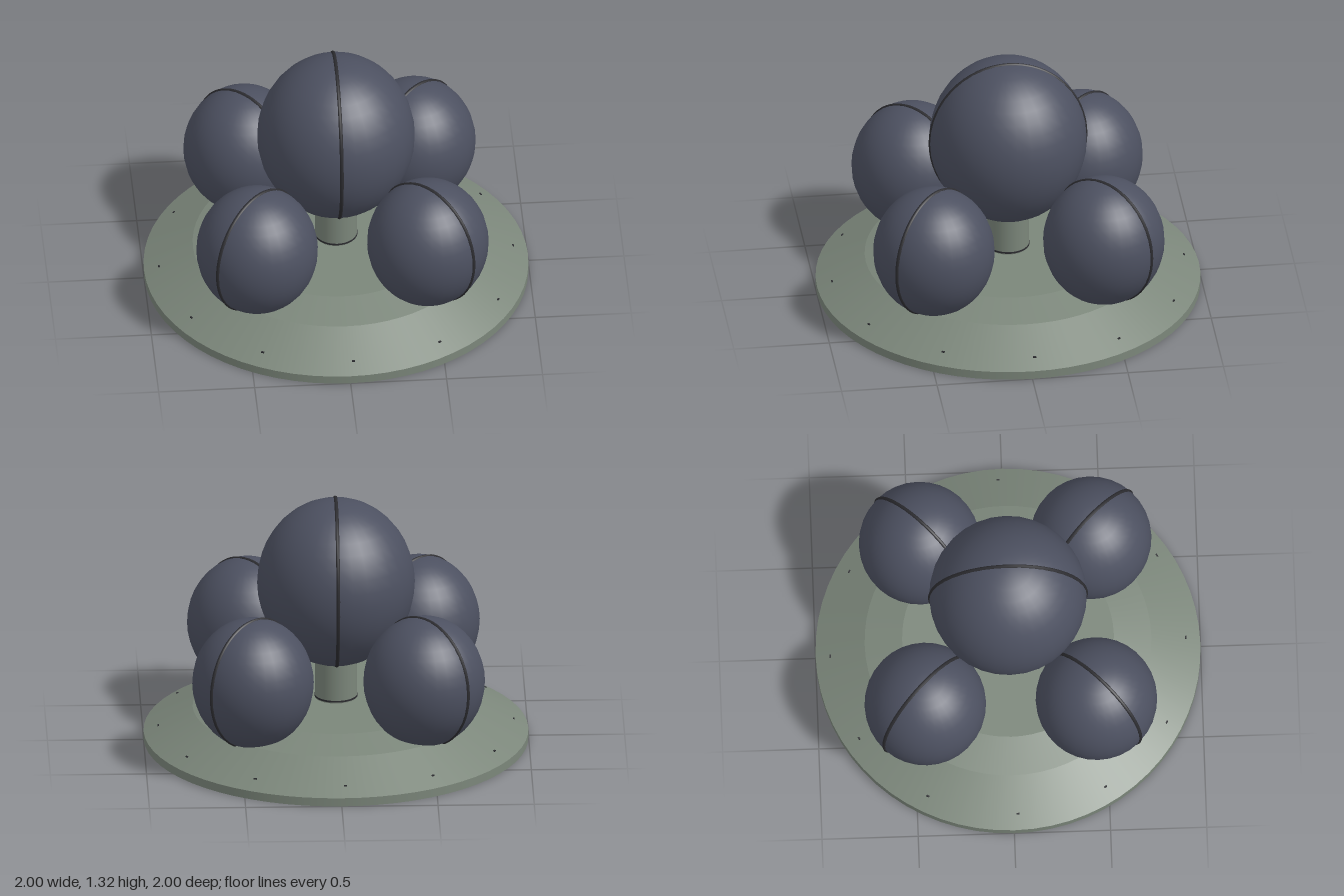
import * as THREE from 'three';

export function createModel() {
  const model = new THREE.Group();
  const shell = new THREE.MeshStandardMaterial({ name: 'slate blue', color: 0x4c5060 });
  const metal = new THREE.MeshStandardMaterial({ name: 'grey green', color: 0x7b867a });
  const dark = new THREE.MeshStandardMaterial({ name: 'charcoal', color: 0x2c2c30 });

  function add(parent, name, geometry, material, x = 0, y = 0, z = 0) {
    const mesh = new THREE.Mesh(geometry, material);
    mesh.name = name;
    mesh.position.set(x, y, z);
    parent.add(mesh);
    return mesh;
  }

  // Stepped base: rim, lower slope, upper slope with a flat top
  const tiers = [
    ['baseRim', 1, 1, 0, 0.045],
    ['baseLowerSlope', 0.745, 1, 0.045, 0.18],
    ['baseUpperSlope', 0.55, 0.745, 0.18, 0.23],
  ];
  for (const [name, top, bottom, y0, y1] of tiers) {
    add(model, name, new THREE.CylinderGeometry(top, bottom, y1 - y0, 64, 1, true), metal, 0, (y0 + y1) / 2, 0);
  }
  add(model, 'baseTop', new THREE.CircleGeometry(0.55, 64), metal, 0, 0.23, 0).rotation.x = -Math.PI / 2;
  add(model, 'baseUnderside', new THREE.CircleGeometry(1, 64), metal).rotation.x = Math.PI / 2;

  // Central stem with a dark seam at its foot
  add(model, 'stem', new THREE.CylinderGeometry(0.11, 0.11, 0.27, 32), metal, 0, 0.345, 0);
  add(model, 'stemSeam', new THREE.CylinderGeometry(0.112, 0.112, 0.009, 32), dark, 0, 0.24, 0);

  // Slightly tall globe with a vertical band around it
  function globe(name, radius, height, x, y, z, turn) {
    const group = new THREE.Group();
    group.name = name;
    group.position.set(x, y, z);
    group.rotation.y = turn;
    group.scale.y = height / radius;
    add(group, name + 'Shell', new THREE.SphereGeometry(radius, 32, 20), shell);
    add(group, name + 'Band', new THREE.TorusGeometry(radius - 0.005, 0.011, 8, 64), dark);
    model.add(group);
  }
  globe('centreGlobe', 0.41, 0.445, 0, 0.867, 0, Math.PI / 2);
  for (let i = 0; i < 4; i++) {
    const a = Math.PI / 4 + i * Math.PI / 2;
    const r = 0.629;
    globe('outerGlobe' + (i + 1), 0.316, 0.345, r * Math.cos(a), 0.48, -r * Math.sin(a), a);
  }

  // Small rivets around the lower slope
  for (let i = 0; i < 12; i++) {
    const a = 0.023 + i * Math.PI / 6;
    const rivet = add(model, 'rivet' + (i + 1), new THREE.BoxGeometry(0.016, 0.008, 0.008), dark,
      0.924 * Math.sin(a), 0.085, 0.924 * Math.cos(a));
    rivet.rotation.y = a;
  }
  return model;
}
